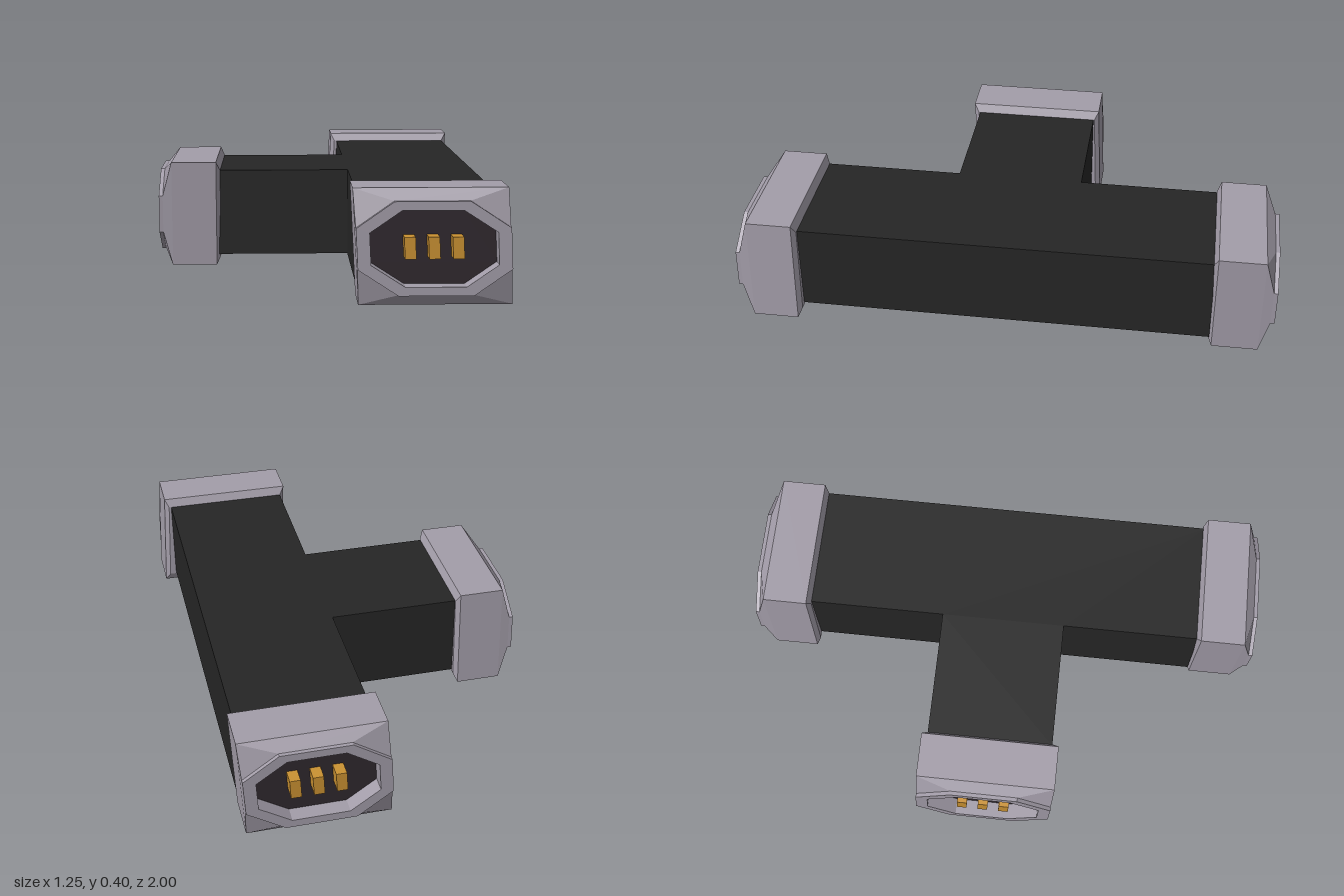
import * as THREE from 'three';

const mat = (color) => new THREE.MeshStandardMaterial({ color, flatShading: true });
const shellMat = mat(0xa39da9);
const bodyMat = mat(0x262626);
const floorMat = mat(0x30282e);
const pinMat = mat(0xcb9232);

// Eight-point sections; the rectangle doubles its corners so it lofts into the octagon
const octagon = (w, side, t, h, z) => [
  [w, -side], [w, side], [t, h], [-t, h], [-w, side], [-w, -side], [-t, -h], [t, -h],
].map(([x, y]) => [x, y, z]);
const rectangle = (w, h, z) => octagon(w, h, w, h, z);

// Flat-sided surface through the sections, with optional end faces
function loft(sections, capStart, capEnd) {
  const pos = [];
  const tri = (a, b, c) => {
    const u = new THREE.Vector3(...b).sub(new THREE.Vector3(...a));
    const v = new THREE.Vector3(...c).sub(new THREE.Vector3(...a));
    if (u.cross(v).length() > 1e-8) pos.push(...a, ...b, ...c);
  };
  for (let s = 0; s < sections.length - 1; s++) {
    const A = sections[s], B = sections[s + 1];
    for (let i = 0; i < 8; i++) {
      const j = (i + 1) % 8;
      tri(A[i], A[j], B[j]);
      tri(A[i], B[j], B[i]);
    }
  }
  const first = sections[0], last = sections[sections.length - 1];
  for (let i = 1; i < 7; i++) {
    if (capStart) tri(first[0], first[i + 1], first[i]);
    if (capEnd) tri(last[0], last[i], last[i + 1]);
  }
  const g = new THREE.BufferGeometry();
  g.setAttribute('position', new THREE.Float32BufferAttribute(pos, 3));
  return g;
}

// Lean a geometry sideways with height and shift it off centre
function lean(geometry, offset, slope) {
  const p = geometry.attributes.position;
  for (let i = 0; i < p.count; i++) p.setX(i, p.getX(i) + offset - slope * p.getY(i));
  geometry.computeVertexNormals();
  return geometry;
}

// One socket: local z runs outward from the body, y is measured from the centre height
function createConnector(name, offset, slope) {
  const group = new THREE.Group();
  group.name = name;
  const add = (part, geometry, material) => {
    const mesh = new THREE.Mesh(lean(geometry, offset, slope), material);
    mesh.name = part;
    group.add(mesh);
  };
  const floor = octagon(0.215, 0.055, 0.103, 0.13, 0.175);
  add('connectorShell', loft([
    rectangle(0.245, 0.168, 0),
    rectangle(0.2625, 0.2, 0.015),
    rectangle(0.2625, 0.2, 0.185),
    octagon(0.26, 0.07, 0.1275, 0.16, 0.22),
    octagon(0.26, 0.07, 0.1275, 0.16, 0.235),
    octagon(0.215, 0.055, 0.103, 0.13, 0.235),
    floor,
  ], true, false), shellMat);
  add('socketFloor', loft([floor], false, true), floorMat);
  for (let i = -1; i <= 1; i++) {
    const pin = new THREE.BoxGeometry(0.038, 0.075, 0.055);
    pin.translate(i * 0.081, 0.002, 0.2025);
    add('contactPin', pin, pinMat);
  }
  return group;
}

export function createModel() {
  const model = new THREE.Group();
  model.name = 'teeConnector';

  // T-shaped body
  const outline = [
    [0.1, -0.77], [0.58, -0.77], [0.58, 0.77], [0.1, 0.77],
    [0.1, 0.24], [-0.395, 0.24], [-0.395, -0.24], [0.1, -0.24],
  ].map(([x, y]) => new THREE.Vector2(x, y));
  const bodyGeometry = new THREE.ExtrudeGeometry(new THREE.Shape(outline), { depth: 0.327, bevelEnabled: false });
  bodyGeometry.rotateX(-Math.PI / 2);
  const body = new THREE.Mesh(bodyGeometry, bodyMat);
  body.name = 'body';
  body.position.y = 0.04;
  model.add(body);

  // Sockets on the three ends
  const place = (name, x, z, turn, offset, slope) => {
    const connector = createConnector(name, offset, slope);
    connector.position.set(x, 0.2, z);
    connector.rotation.y = turn;
    model.add(connector);
  };
  place('frontConnector', 0.34, 0.765, 0, 0.0125, 0.05);
  place('backConnector', 0.34, -0.765, Math.PI, 0.0125, 0.05);
  place('sideConnector', -0.39, 0, -Math.PI / 2, -0.006, -0.04);

  return model;
}
